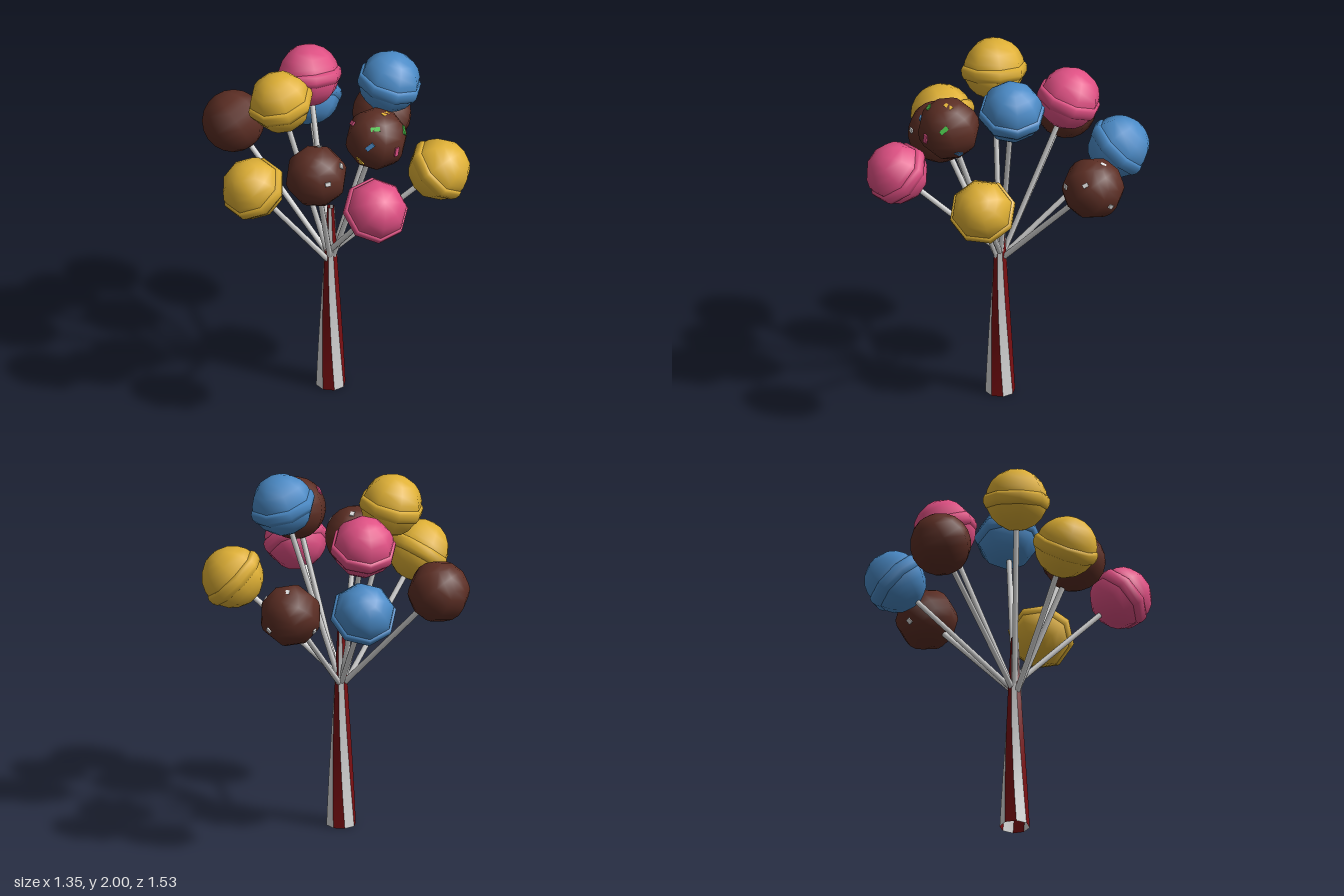
import * as THREE from 'three';

export function createModel() {
  const model = new THREE.Group();
  model.name = 'lollipopTree';

  const mat = (name, color, side = THREE.FrontSide) => {
    const m = new THREE.MeshStandardMaterial({ color, side });
    m.name = name;
    return m;
  };
  const mats = {
    yellow: mat('yellow candy', 0xdfb035),
    blue: mat('blue candy', 0x4a8ac6),
    pink: mat('pink candy', 0xe05084),
    brown: mat('chocolate', 0x5c2e24),
    green: mat('green sprinkle', 0x4cc94c),
    white: mat('white', 0xdcdcdc, THREE.DoubleSide),
    red: mat('trunk red', 0x7a0f12, THREE.DoubleSide),
  };
  const add = (parent, geo, material, name) => {
    const m = new THREE.Mesh(geo, material);
    m.name = name;
    parent.add(m);
    return m;
  };

  // Trunk: eight tapered, twisted stripes
  const H = 1.1, SIDES = 8, TWIST = 0.85;
  const trunk = new THREE.Group();
  trunk.name = 'trunk';
  trunk.position.set(-0.03, 0, 0.03);
  model.add(trunk);
  for (let i = 0; i < SIDES; i++) {
    const step = (Math.PI * 2) / SIDES;
    const geo = new THREE.CylinderGeometry(0.02, 0.08, H, 1, 8, true, i * step, step);
    geo.translate(0, H / 2, 0);
    const p = geo.attributes.position;
    for (let k = 0; k < p.count; k++) {
      const v = new THREE.Vector3().fromBufferAttribute(p, k);
      v.applyAxisAngle(THREE.Object3D.DEFAULT_UP, -TWIST * v.y / H);
      p.setXYZ(k, v.x, v.y, v.z);
    }
    geo.computeVertexNormals();
    add(trunk, geo, i % 2 ? mats.red : mats.white, 'trunkStripe');
  }

  // Shared candy shapes
  const UP = new THREE.Vector3(0, 1, 0);
  const ball = new THREE.SphereGeometry(0.166, 8, 10);
  const band = new THREE.LatheGeometry(
    [[0.14, -0.052], [0.165, -0.046], [0.177, -0.022], [0.177, 0.008], [0.168, 0.024], [0.14, 0.026]]
      .map(([r, y]) => new THREE.Vector2(r, y)), 8);

  // Lollipops: colour, centre x y z, height where the stick meets the trunk
  const pops = [
    ['yellow', -0.30, 1.78, 0.01, 0.75],
    ['yellow', -0.51, 1.42, 0.25, 0.75],
    ['yellow', 0.51, 1.37, 0.23, 0.82],
    ['blue', 0.29, 1.83, 0.03, 0.78],
    ['blue', 0.01, 1.415, -0.60, 0.79],
    ['pink', -0.055, 1.695, -0.345, 0.78],
    ['pink', 0.07, 1.41, 0.605, 0.83],
    ['brown', -0.45, 1.43, -0.41, 0.78],
    ['brown', 0.355, 1.365, -0.395, 0.78],
    ['brown', -0.185, 1.495, 0.33, 0.76],
    ['brown', 0.14, 1.685, 0.34, 0.75],
  ];
  for (const [color, x, y, z, base] of pops) {
    const start = new THREE.Vector3(-0.03, base, 0.03);
    const end = new THREE.Vector3(x, y, z);
    const length = start.distanceTo(end);
    const pop = new THREE.Group();
    pop.name = 'lollipop';
    pop.position.copy(start);
    pop.quaternion.setFromUnitVectors(UP, end.clone().sub(start).normalize());
    model.add(pop);

    const stick = new THREE.CylinderGeometry(0.015, 0.015, length, 8);
    add(pop, stick, mats.white, 'stick').position.y = length / 2;
    add(pop, ball, mats[color], 'candy').position.y = length;
    if (color !== 'brown') add(pop, band, mats[color], 'candyBand').position.y = length;
  }

  // Sprinkles lie flat on the chocolate balls, each given by its outward direction
  const sprinkle = (center, dir, color, w, h, spin) => {
    const d = new THREE.Vector3(...dir).normalize();
    const m = add(model, new THREE.BoxGeometry(w, h, 0.008), mats[color], 'sprinkle');
    m.position.set(...center).addScaledVector(d, 0.16);
    m.quaternion.setFromUnitVectors(new THREE.Vector3(0, 0, 1), d);
    m.rotateZ(spin);
  };
  [
    ['green', -0.03, 0.12, 0.1], ['blue', -0.07, 0.04, 0.14],
    ['pink', 0.075, -0.01, 0.14], ['yellow', -0.12, -0.07, 0.1],
    ['pink', -0.126, 0.1, -0.03], ['yellow', 0.045, 0.15, 0.012],
    ['green', 0.14, 0.063, 0.053], ['blue', 0.14, -0.09, -0.03],
  ].forEach(([color, ...dir], i) =>
    sprinkle([0.14, 1.685, 0.34], dir, color, 0.05, 0.024, i * 0.7));

  const specks = [[0.025, 0.035, 0.15], [0.13, 0.09, 0.07], [0.14, -0.05, -0.07], [-0.1, -0.06, -0.1], [0.03, 0.15, -0.05]];
  for (const center of [[0.355, 1.365, -0.395], [-0.185, 1.495, 0.33]])
    specks.forEach((dir, i) => sprinkle(center, dir, 'white', 0.03, 0.022, i));

  return model;
}
